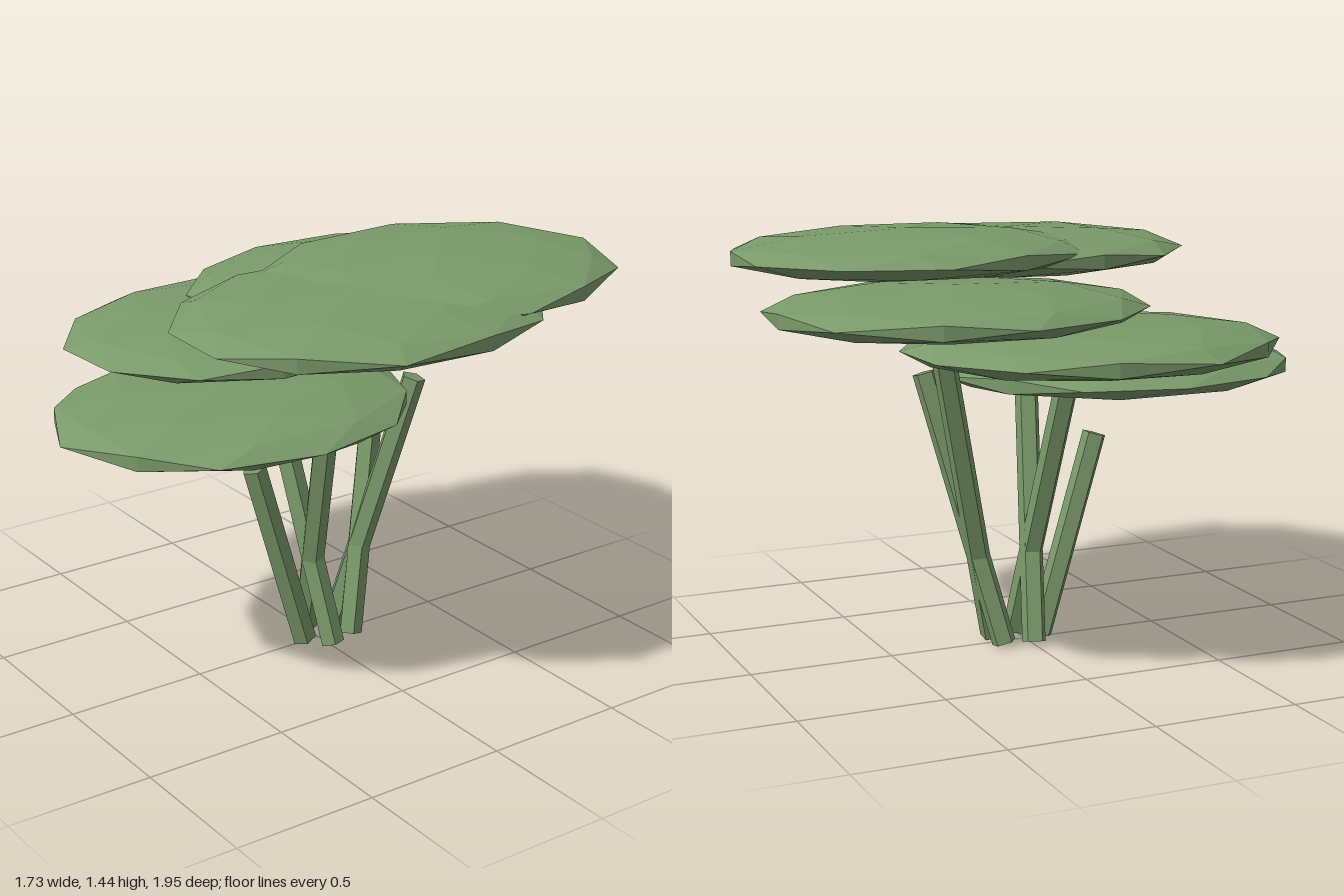
import * as THREE from 'three';

const green = new THREE.MeshStandardMaterial({ color: 0x7a9a6a, flatShading: true });

// Straight five-sided stem between two points
function stem(base, top) {
  const dir = top.clone().sub(base);
  const mesh = new THREE.Mesh(new THREE.CylinderGeometry(0.043, 0.043, dir.length(), 5), green);
  mesh.position.copy(base).addScaledVector(dir, 0.5);
  mesh.quaternion.setFromUnitVectors(new THREE.Vector3(0, 1, 0), dir.normalize());
  return mesh;
}

// Faceted ball, turned and then squashed into a flat pad of leaves
function pad(turn) {
  const geometry = new THREE.IcosahedronGeometry(1, 1).rotateY(turn).scale(0.535, 0.08, 0.65);
  return new THREE.Mesh(geometry, green);
}

export function createModel() {
  const model = new THREE.Group();
  model.name = 'tieredBush';

  const centreZ = -0.03;
  const padHeights = [0.957, 1.333, 1.36, 1.22, 1.095];
  const stemHeights = [0.715, 1.05, 1.06, 0.955, 0.84];

  // Five stems and five pads spaced evenly around the middle
  for (let i = 0; i < 5; i++) {
    const angle = (i * Math.PI * 2) / 5;
    const s = Math.sin(angle);
    const c = Math.cos(angle);

    // Stems lean outwards along z and cross over along x
    const h = stemHeights[i];
    const base = new THREE.Vector3(0.09 * s, 0.012, 0.09 * c + centreZ);
    const top = new THREE.Vector3((0.09 - 0.29 * h) * s, h, (0.09 + 0.29 * h) * c + centreZ);
    const trunk = stem(base, top);
    trunk.name = `stem${i + 1}`;
    model.add(trunk);

    const leaves = pad(angle);
    leaves.position.set(0.373 * s, padHeights[i], 0.38 * c + centreZ);
    leaves.name = `leafPad${i + 1}`;
    model.add(leaves);
  }
  return model;
}
